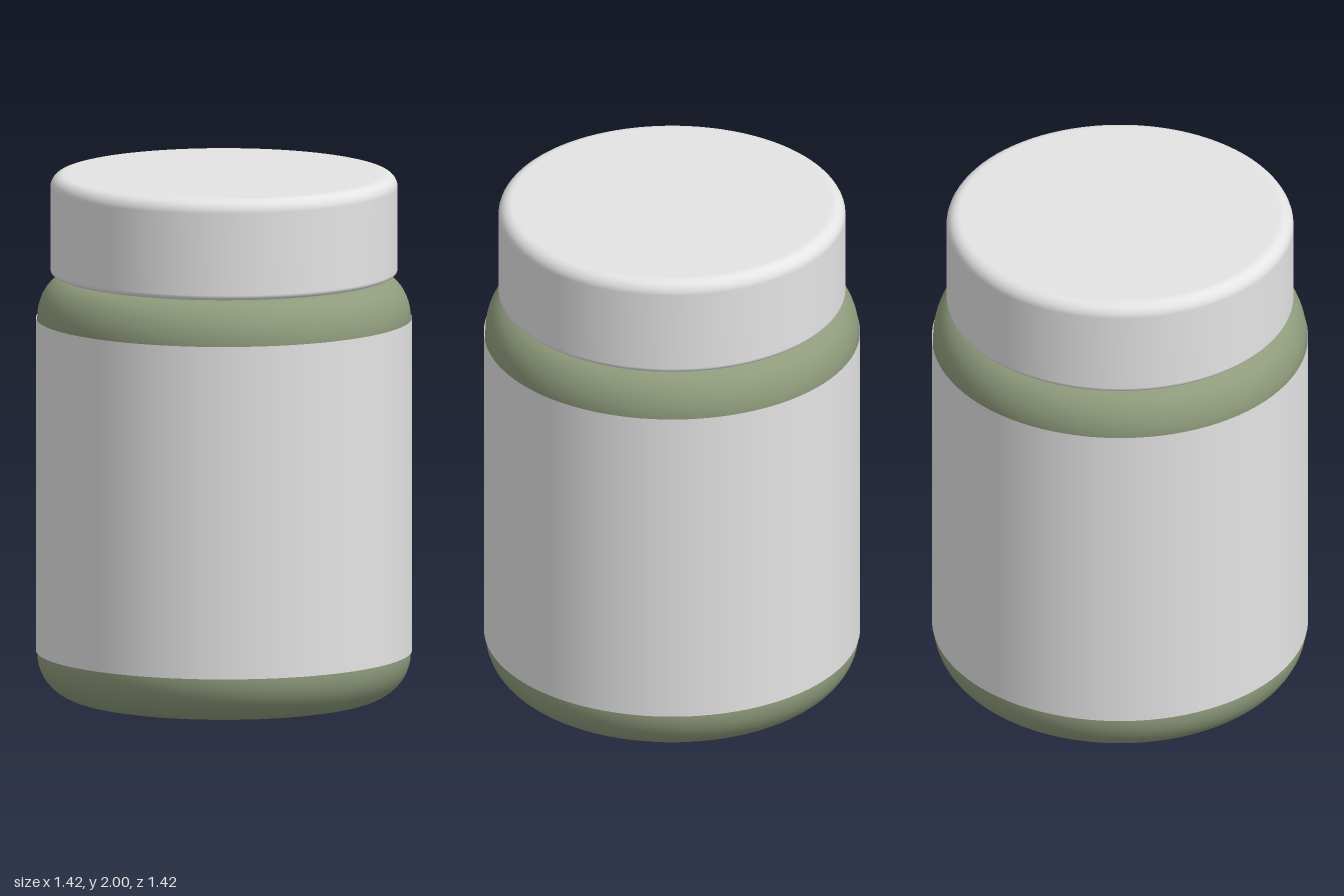
import * as THREE from 'three';

const SEGMENTS = 96;

// Profile of a solid disc with elliptical rounded lower and upper rims, listed bottom to top.
function roundedProfile(radius, y0, y1, low, high, steps = 12) {
  const points = [new THREE.Vector2(0, y0)];
  points.push(new THREE.Vector2(radius - low.w - 0.01, y0));
  for (let i = 0; i <= steps; i++) {
    const a = (i / steps) * Math.PI / 2;
    points.push(new THREE.Vector2(radius - low.w + low.w * Math.sin(a), y0 + low.h - low.h * Math.cos(a)));
  }
  for (let i = 0; i <= steps; i++) {
    const a = (i / steps) * Math.PI / 2;
    points.push(new THREE.Vector2(radius - high.w + high.w * Math.cos(a), y1 - high.h + high.h * Math.sin(a)));
  }
  points.push(new THREE.Vector2(radius - high.w - 0.01, y1));
  points.push(new THREE.Vector2(0, y1));
  return points;
}

export function createModel() {
  const white = new THREE.MeshStandardMaterial({ color: 0xe4e4e4 });
  white.name = 'white';
  const labelWhite = new THREE.MeshStandardMaterial({ color: 0xe4e4e4, side: THREE.DoubleSide });
  labelWhite.name = 'label white';
  const green = new THREE.MeshStandardMaterial({ color: 0x8f9b7c });
  green.name = 'sage green';

  const group = new THREE.Group();
  group.name = 'jar';
  const add = (name, geometry, material, y = 0) => {
    const mesh = new THREE.Mesh(geometry, material);
    mesh.name = name;
    mesh.position.y = y;
    group.add(mesh);
  };

  // Rounded jar body
  const body = roundedProfile(0.705, 0, 1.61, { w: 0.17, h: 0.17 }, { w: 0.12, h: 0.16 });
  add('body', new THREE.LatheGeometry(body, SEGMENTS), green);

  // Neck hidden under the lid
  add('neck', new THREE.CylinderGeometry(0.58, 0.58, 0.1, SEGMENTS), green, 1.63);

  // Label wrapped around the body
  add('label', new THREE.CylinderGeometry(0.71, 0.71, 1.27, SEGMENTS, 1, true), labelWhite, 0.815);

  // Lid with softened rims
  const lid = roundedProfile(0.655, 1.617, 2, { w: 0.02, h: 0.02 }, { w: 0.05, h: 0.05 }, 8);
  add('lid', new THREE.LatheGeometry(lid, SEGMENTS), white);

  return group;
}
